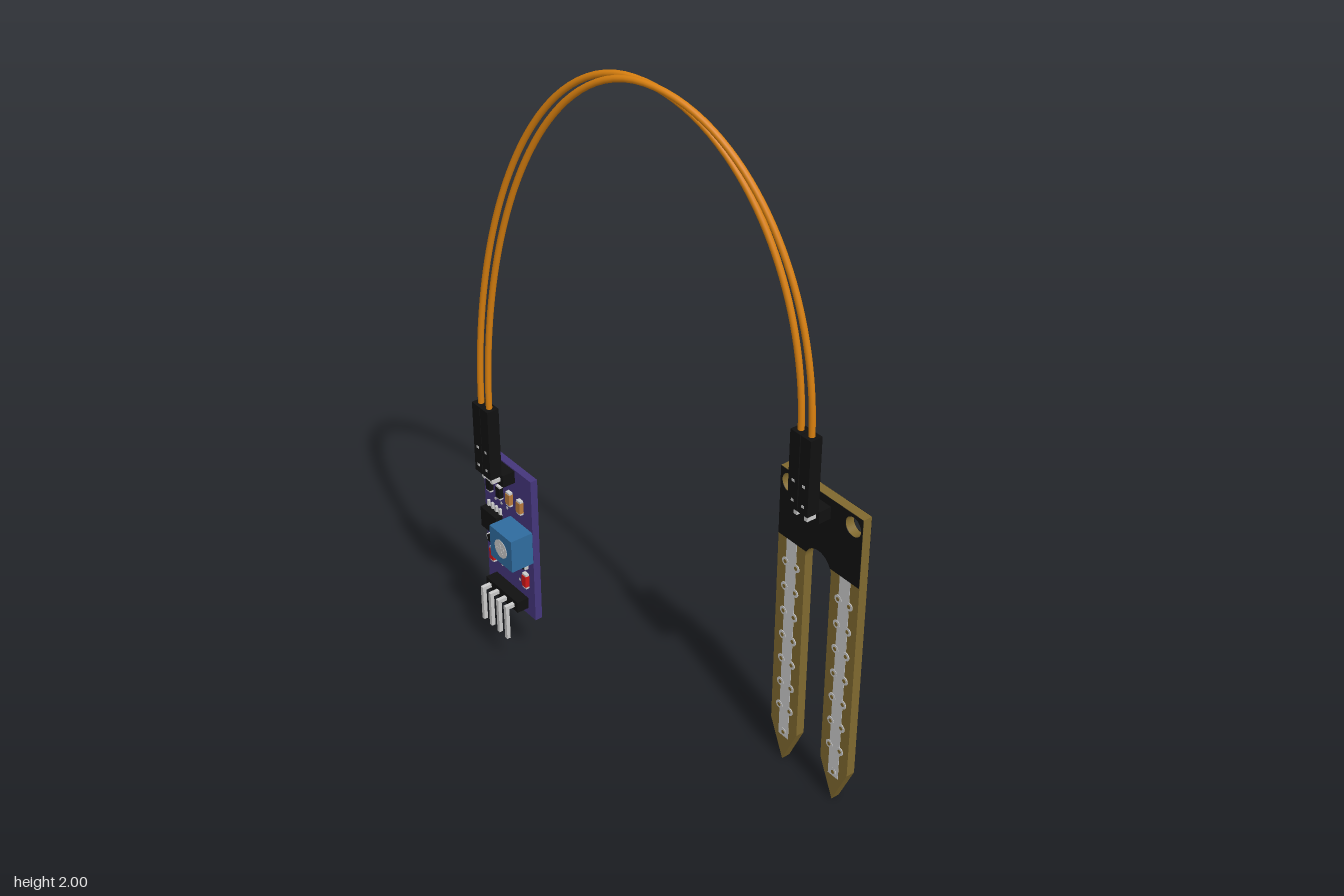
import * as THREE from 'three';

const mat = (color) => new THREE.MeshStandardMaterial({ color });
const M = {
  purple: mat(0x45367c), black: mat(0x111111), olive: mat(0x80692f), silver: mat(0xcccccc),
  blue: mat(0x2f6c9f), orange: mat(0xd9800f), red: mat(0xd01818), tan: mat(0xb87a3c), white: mat(0xe8e8e8),
};

function add(parent, name, geometry, material, x = 0, y = 0, z = 0) {
  const mesh = new THREE.Mesh(geometry, material);
  mesh.name = name;
  mesh.position.set(x, y, z);
  parent.add(mesh);
  return mesh;
}

// box given by its limits
const box = (parent, name, material, x0, x1, y0, y1, z0, z1) =>
  add(parent, name, new THREE.BoxGeometry(x1 - x0, y1 - y0, z1 - z0), material,
    (x0 + x1) / 2, (y0 + y1) / 2, (z0 + z1) / 2);

// cylinder lying along z
function disc(parent, name, material, x, y, z0, z1, r, sides = 16) {
  const g = new THREE.CylinderGeometry(r, r, z1 - z0, sides).rotateX(Math.PI / 2);
  return add(parent, name, g, material, x, y, (z0 + z1) / 2);
}

function plate(parent, name, material, shape, z0, z1) {
  const g = new THREE.ExtrudeGeometry(shape, { depth: z1 - z0, bevelEnabled: false, curveSegments: 20 });
  return add(parent, name, g, material, 0, 0, z0);
}

const polygon = (pts) => new THREE.Shape(pts.map(([x, y]) => new THREE.Vector2(x, y)));
const hole = (shape, x, y, r) => shape.holes.push(new THREE.Path().absarc(x, y, r, 0, Math.PI * 2, true));

// square pin that runs along z and then turns up or down
function bentPin(parent, x, y, zBack, zFront, yEnd) {
  const h = 0.006;
  box(parent, 'pinShank', M.silver, x - h, x + h, y - h, y + h, zBack, zFront + h);
  box(parent, 'pinTip', M.silver, x - h, x + h, Math.min(y, yEnd), Math.max(y, yEnd), zFront - h, zFront + h);
}

// cable socket with its crimp windows
function socket(parent, x, y0, y1, z) {
  const g = new THREE.Group();
  g.name = 'cableSocket';
  box(g, 'socketBody', M.black, x - 0.0185, x + 0.0185, y0, y1, z - 0.019, z + 0.019);
  for (const dy of [0.025, 0.085]) {
    box(g, 'crimpWindow', M.silver, x - 0.005, x + 0.005, y0 + dy - 0.004, y0 + dy + 0.004, z + 0.018, z + 0.0198);
  }
  parent.add(g);
}

function createProbe() {
  const g = new THREE.Group();
  g.name = 'soilProbe';
  const zb = -0.198, zf = -0.171;

  // forked board
  const s = polygon([[0.318, 0.12], [0.371, 0], [0.425, 0.12], [0.425, 0.74]]);
  s.absarc(0.475, 0.74, 0.05, Math.PI, 0, true);
  for (const [x, y] of [[0.525, 0.12], [0.579, 0], [0.632, 0.12], [0.632, 0.974], [0.318, 0.974]]) s.lineTo(x, y);
  // black coating of the bridge
  const m = polygon([[0.319, 0.76], [0.429, 0.76]]);
  m.absarc(0.475, 0.74, 0.05, Math.PI - 0.41, 0.41, true);
  for (const [x, y] of [[0.631, 0.76], [0.631, 0.973], [0.319, 0.973]]) m.lineTo(x, y);
  for (const x of [0.354, 0.597]) {
    hole(s, x, 0.935, 0.029);
    hole(m, x, 0.935, 0.029);
  }
  plate(g, 'probeBoard', M.olive, s, zb, zf);
  plate(g, 'frontCoating', M.black, m, zf, zf + 0.0015);
  plate(g, 'backCoating', M.black, m, zb - 0.0015, zb);

  // contact strips and rows of plated holes on both faces
  for (const cx of [0.372, 0.579]) {
    box(g, 'contactStrip', M.silver, cx - 0.02, cx + 0.02, 0.085, 0.76, zb - 0.001, zf + 0.001);
    const spots = [[cx, 0.1]];
    for (let i = 0; i < 7; i++) for (const d of [-0.021, 0.021]) spots.push([cx + d, 0.188 + i * 0.0825]);
    for (const [x, y] of spots) {
      disc(g, 'platedRing', M.white, x, y, zb - 0.002, zf + 0.002, 0.013);
      disc(g, 'platedHole', M.olive, x, y, zb - 0.003, zf + 0.003, 0.006, 10);
    }
  }

  // two-pin header and cable sockets
  box(g, 'probeHeader', M.black, 0.436, 0.513, 0.913, 0.95, zf, -0.13);
  for (const x of [0.455, 0.495]) {
    bentPin(g, x, 0.931, -0.215, -0.107, 1.0);
    disc(g, 'solderJoint', M.silver, x, 0.931, zb - 0.005, zb, 0.011, 10);
    socket(g, x, 0.95, 1.18, -0.108);
  }
  return g;
}

function createController() {
  const g = new THREE.Group();
  g.name = 'controllerModule';
  const zb = 0.11, zf = 0.133;

  const s = polygon([[-0.635, 0.163], [-0.395, 0.163], [-0.395, 0.657], [-0.635, 0.657]]);
  hole(s, -0.513, 0.316, 0.024);
  plate(g, 'circuitBoard', M.purple, s, zb, zf);

  const joint = (x, y) => disc(g, 'solderJoint', M.silver, x, y, zb - 0.006, zb, 0.009, 10);

  // upper header with cable sockets
  box(g, 'upperHeader', M.black, -0.55, -0.474, 0.613, 0.653, zf, 0.174);
  for (const x of [-0.531, -0.492]) {
    bentPin(g, x, 0.635, 0.102, 0.196, 0.7);
    joint(x, 0.635);
    socket(g, x, 0.655, 0.882, 0.196);
  }

  // lower header with four pins
  box(g, 'lowerHeader', M.black, -0.593, -0.43, 0.188, 0.225, zf, 0.172);
  for (let i = 0; i < 4; i++) {
    const x = -0.571 + i * 0.04;
    bentPin(g, x, 0.207, 0.102, 0.197, 0.095);
    joint(x, 0.207);
  }

  // adjuster block with slotted screw
  box(g, 'adjusterBlock', M.blue, -0.505, -0.396, 0.372, 0.48, zf, 0.207);
  disc(g, 'adjusterScrew', M.silver, -0.45, 0.426, 0.2, 0.2085, 0.03, 24);
  for (const a of [0, Math.PI / 2]) {
    const slot = box(g, 'screwSlot', M.white, -0.468, -0.432, 0.422, 0.43, 0.207, 0.2095);
    slot.rotation.z = a + 0.3;
  }
  for (const [x, y] of [[-0.485, 0.39], [-0.45, 0.462], [-0.415, 0.39]]) joint(x, y);

  // comparator chip and its leads
  box(g, 'chip', M.black, -0.622, -0.543, 0.392, 0.46, zf + 0.004, 0.16);
  for (let i = 0; i < 4; i++) {
    const x = -0.612 + i * 0.0197;
    for (const y of [0.385, 0.467]) {
      box(g, 'chipLead', M.silver, x - 0.004, x + 0.004, y - 0.012, y + 0.012, zf, zf + 0.008);
    }
  }

  // small surface parts with metal end caps: x, y, half width, half height, material
  const chips = [
    [-0.598, 0.543, 0.01, 0.024, M.black], [-0.548, 0.543, 0.01, 0.024, M.black],
    [-0.498, 0.547, 0.01, 0.025, M.tan], [-0.445, 0.547, 0.01, 0.025, M.tan],
    [-0.598, 0.293, 0.01, 0.027, M.red], [-0.43, 0.293, 0.01, 0.027, M.red],
    [-0.598, 0.346, 0.024, 0.01, M.black], [-0.445, 0.346, 0.024, 0.01, M.black],
  ];
  for (const [x, y, w, h, material] of chips) {
    const tall = h > w, k = 0.7;
    const bw = tall ? w : w * k, bh = tall ? h * k : h;
    box(g, 'smallPart', material, x - bw, x + bw, y - bh, y + bh, zf, zf + 0.014);
    box(g, 'endCaps', M.silver, x - w * 0.95, x + w * 0.95, y - h * 0.95, y + h * 0.95, zf, zf + 0.012);
  }

  // plated through-holes, seen on both faces
  for (const [x, y] of [[-0.58, 0.5], [-0.55, 0.5], [-0.52, 0.5], [-0.53, 0.36], [-0.51, 0.4], [-0.56, 0.27], [-0.47, 0.27]]) {
    disc(g, 'platedHole', M.silver, x, y, zb - 0.001, zf + 0.001, 0.005, 8);
  }
  return g;
}

// arching wire: two quarter ellipses meeting at the top
class ArchCurve extends THREE.Curve {
  constructor(a, b, top) {
    super();
    Object.assign(this, { a, b, top });
  }
  getPoint(t, target = new THREE.Vector3()) {
    const angle = Math.PI * t, e = t < 0.5 ? this.a : this.b;
    const f = (1 - Math.cos(angle)) / 2;
    return target.set(
      THREE.MathUtils.lerp(this.a.x, this.b.x, f),
      e.y + (this.top - e.y) * Math.sin(angle),
      THREE.MathUtils.lerp(this.a.z, this.b.z, f));
  }
}

export function createModel() {
  const model = new THREE.Group();
  model.name = 'moistureSensor';
  model.add(createProbe(), createController());
  for (const [x0, x1] of [[-0.531, 0.455], [-0.492, 0.495]]) {
    const path = new ArchCurve(new THREE.Vector3(x0, 0.875, 0.196), new THREE.Vector3(x1, 1.175, -0.108), 1.991);
    add(model, 'wire', new THREE.TubeGeometry(path, 80, 0.009, 12), M.orange);
  }
  return model;
}
